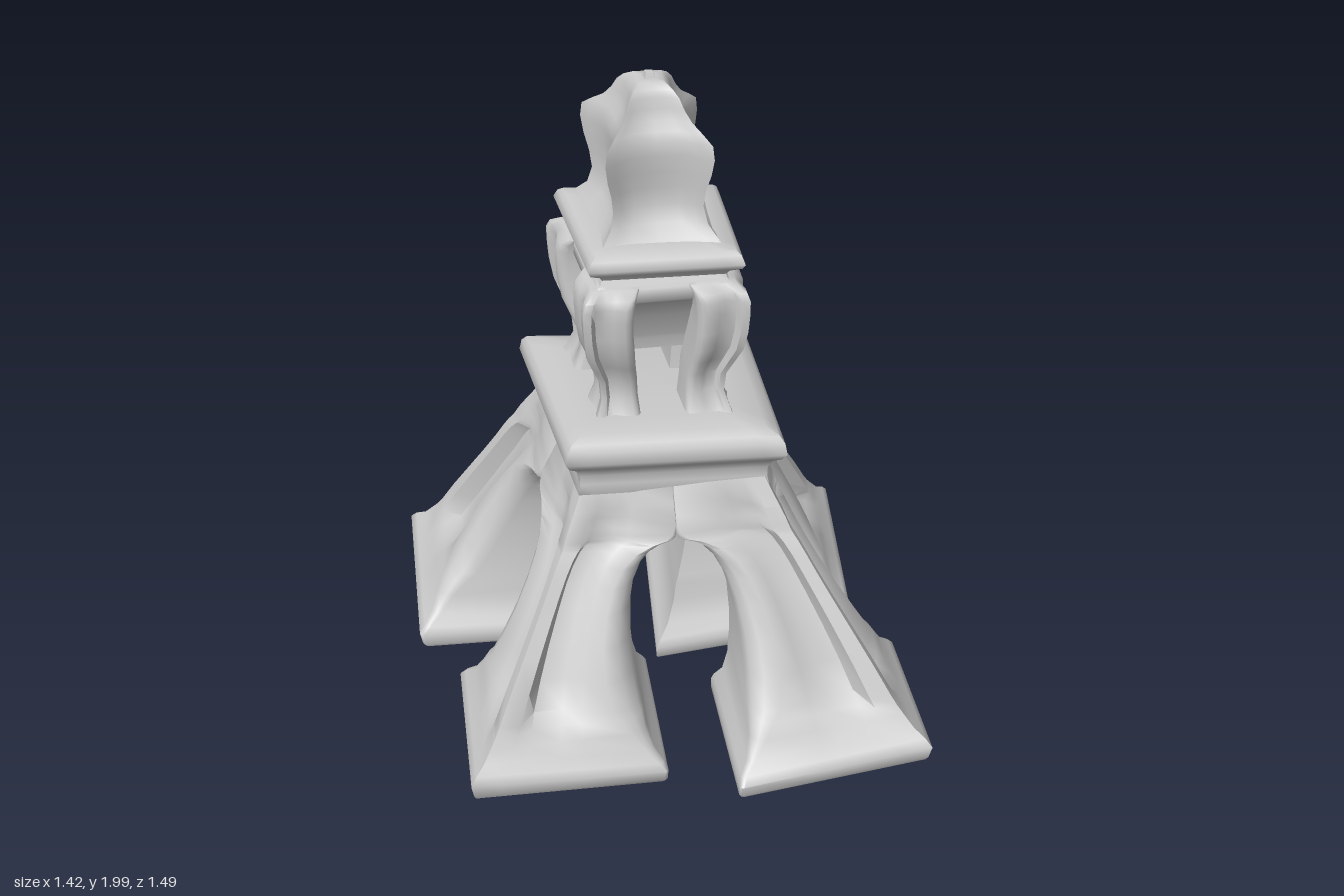
import * as THREE from 'three';
import { toCreasedNormals } from 'three/addons/utils/BufferGeometryUtils.js';

const material = new THREE.MeshStandardMaterial({ color: 0xcccccc });

// the tower's plan is a slightly turned, uneven square
function warp([x, z]) {
  const m = x * z / Math.max(Math.abs(x), Math.abs(z), 1e-6);
  return [1.006 * x - 0.054 * z - 0.044 * m, 0.121 * x + 1.029 * z - 0.039 * m];
}
const quarter = ([x, z], k) => {
  for (let n = 0; n < k; n++) [x, z] = [z, -x];
  return [x, z];
};

// capped skin over rings of [x, y, z], listed from bottom to top
function loft(name, rings) {
  const n = rings[0].length;
  const pos = rings.flat(2);
  const index = [];
  for (let i = 0; i < rings.length - 1; i++) {
    for (let j = 0; j < n; j++) {
      const a = i * n + j, b = i * n + (j + 1) % n;
      index.push(a, b, a + n, b, b + n, a + n);
    }
  }
  [0, rings.length - 1].forEach((r, top) => {
    const c = pos.length / 3;
    for (let k = 0; k < 3; k++) pos.push(rings[r].reduce((s, p) => s + p[k], 0) / n);
    for (let j = 0; j < n; j++) {
      const a = r * n + j, b = r * n + (j + 1) % n;
      index.push(...(top ? [c, a, b] : [c, b, a]));
    }
  });
  const geo = new THREE.BufferGeometry();
  geo.setAttribute('position', new THREE.Float32BufferAttribute(pos, 3));
  geo.setIndex(index);
  const mesh = new THREE.Mesh(toCreasedNormals(geo, 0.95), material);
  mesh.name = name;
  return mesh;
}

// square tier: levels are [y, halfWidth, dip of the face middles]
function tier(name, levels, cx, cz, tilt = 0) {
  return loft(name, levels.map(([y, h, dip = 0]) => {
    const ring = [];
    for (let k = 0; k < 4; k++) {
      for (const [u, d] of [[1, 0], [0.8, 0.35], [0.5, 0.9], [0, 1], [-0.5, 0.9], [-0.8, 0.35]]) {
        const [x, z] = warp(quarter([h - dip * d, u * h], k));
        ring.push([x + cx, y + tilt * (z - x), z + cz]);
      }
    }
    return ring;
  }));
}

// corner post between an inner and an outer square, with sunk panels outside:
// levels are [y, outer, inner, panel depth, rounding of the jambs, drop towards the middle]
function post(name, k, levels, cx, cz, foot) {
  return loft(name, levels.map(([y, o, i, depth, round, drop = 0]) => {
    const d = depth / (o - i);
    let corners = [[i, i], [o, i], [o, o], [i, o]].map((p) => warp(quarter(p, k)));
    if (foot) {
      // shift each corner towards the splayed foot, fading with height
      const base = [[0.07, 0.07], [0.62, 0.07], [0.62, 0.62], [0.07, 0.62]]
        .map((p) => warp(quarter(p, k)));
      const fade = THREE.MathUtils.clamp((0.7 - y) / 0.57, 0, 1);
      corners = corners.map((p, n) => p.map((v, a) => v + fade * (foot[n][a] - base[n][a])));
    }
    const [I, B, O, A] = corners;
    const side = [[1, 0.85], [1 - d, 0.75], [1 - d, 0.55], [1 - 0.5 * d, 0.42]];
    for (let n = 0; n < 4; n++) {
      const a = n * Math.PI / 6;
      side.push([1 - round * (1 - Math.cos(a)), round * (1 - Math.sin(a))]);
    }
    const mirrored = side.map(([s, t]) => [t, s]).reverse();
    return [[1, 1], ...side, [0, 0], ...mirrored].map(([s, t]) => {
      const at = (a) => I[a] * (1 - s) * (1 - t) + B[a] * s * (1 - t) + O[a] * s * t + A[a] * (1 - s) * t;
      return [at(0) + cx, y - drop * (2 - s - t), at(1) + cz];
    });
  }));
}

export function createModel() {
  const model = new THREE.Group();

  // four legs; each foot is given by its outer corner and its two side corners
  const feet = [
    { O: [0.64, 0.75], B: [0.70, 0.2], A: [0.07, 0.74] },
    { O: [0.72, -0.56], B: [0.105, -0.59], A: [0.62, 0.04] },
    { O: [-0.63, -0.74], B: [-0.70, -0.17], A: [-0.04, -0.71] },
    { O: [-0.68, 0.60], B: [-0.11, 0.62], A: [-0.61, 0.03] },
  ];
  const legLevels = [
    [0.08, 0.605, 0.075, 0, 0.02, 0.036], [0.095, 0.612, 0.07, 0, 0.02, 0.04],
    [0.135, 0.62, 0.07, 0, 0.02, 0.045], [0.157, 0.605, 0.08, 0, 0.03, 0.045],
    [0.178, 0.58, 0.105, 0, 0.05, 0.035], [0.21, 0.56, 0.122, 0, 0.1, 0.015], [0.235, 0.545, 0.127, 0.02, 0.15],
    [0.26, 0.533, 0.132, 0.05, 0.2], [0.34, 0.50, 0.142, 0.055, 0.25], [0.43, 0.46, 0.147, 0.055, 0.28],
    [0.52, 0.42, 0.141, 0.052, 0.28], [0.59, 0.39, 0.125, 0.05, 0.27], [0.64, 0.37, 0.1, 0.045, 0.25],
    [0.675, 0.355, 0.067, 0.04, 0.2], [0.695, 0.345, 0.032, 0.035, 0.14], [0.705, 0.34, 0, 0.03, 0.09],
    [0.72, 0.334, 0, 0.027, 0.04], [0.74, 0.326, 0, 0.025, 0.015], [0.77, 0.312, 0, 0.022, 0.01],
    [0.80, 0.297, 0, 0.005, 0.01], [0.85, 0.274, 0, 0, 0.01],
  ];
  feet.forEach(({ O, B, A }, k) => {
    const I = [A[0] + B[0] - O[0], A[1] + B[1] - O[1]];
    model.add(post('leg', k, legLevels, -0.012, -0.01, [I, B, O, A]));
  });

  // platform over the arches
  model.add(tier('platform', [
    [0.77, 0.25], [0.82, 0.283], [0.85, 0.277], [0.88, 0.278], [0.905, 0.289], [0.925, 0.312],
    [0.945, 0.324], [0.98, 0.318], [1.0, 0.304], [1.015, 0.27], [1.025, 0.2],
  ], -0.008, -0.015, 0.05));

  // four curved columns with a hanging block between them
  const columnLevels = [
    [0.99, 0.225, 0.06, 0, 0.1], [1.03, 0.2, 0.065, 0.008, 0.15], [1.09, 0.18, 0.07, 0.014, 0.2],
    [1.15, 0.185, 0.073, 0.018, 0.2], [1.20, 0.205, 0.08, 0.02, 0.2], [1.25, 0.225, 0.085, 0.02, 0.2],
    [1.31, 0.235, 0.09, 0.02, 0.2], [1.37, 0.239, 0.09, 0.018, 0.2], [1.41, 0.239, 0.085, 0.014, 0.2],
    [1.435, 0.23, 0.08, 0.008, 0.15], [1.455, 0.205, 0.07, 0, 0.1],
  ];
  for (let k = 0; k < 4; k++) model.add(post('column', k, columnLevels, -0.022, -0.012));
  model.add(tier('hangingBlock', [
    [1.19, 0.085], [1.225, 0.09], [1.24, 0.095], [1.32, 0.125], [1.39, 0.17], [1.41, 0.195], [1.45, 0.195], [1.47, 0.17],
  ], -0.022, -0.012));

  // upper slab
  model.add(tier('upperSlab', [
    [1.44, 0.19], [1.465, 0.177], [1.48, 0.187], [1.5, 0.216], [1.515, 0.223], [1.54, 0.213], [1.552, 0.2], [1.557, 0.15],
  ], -0.018, -0.014, 0.03));

  // pinnacle with ribbed corners
  model.add(tier('pinnacle', [
    [1.54, 0.18, 0.008], [1.565, 0.165, 0.015], [1.6, 0.139, 0.025], [1.65, 0.128, 0.032], [1.7, 0.134, 0.038],
    [1.75, 0.146, 0.045], [1.8, 0.153, 0.048], [1.84, 0.149, 0.045], [1.865, 0.126, 0.035], [1.89, 0.1, 0.025],
    [1.92, 0.082, 0.018], [1.95, 0.07, 0.012], [1.97, 0.055, 0.006], [1.985, 0.035], [1.985, 0.015], [2.0, 0.01],
  ], -0.022, -0.022));

  return model;
}
